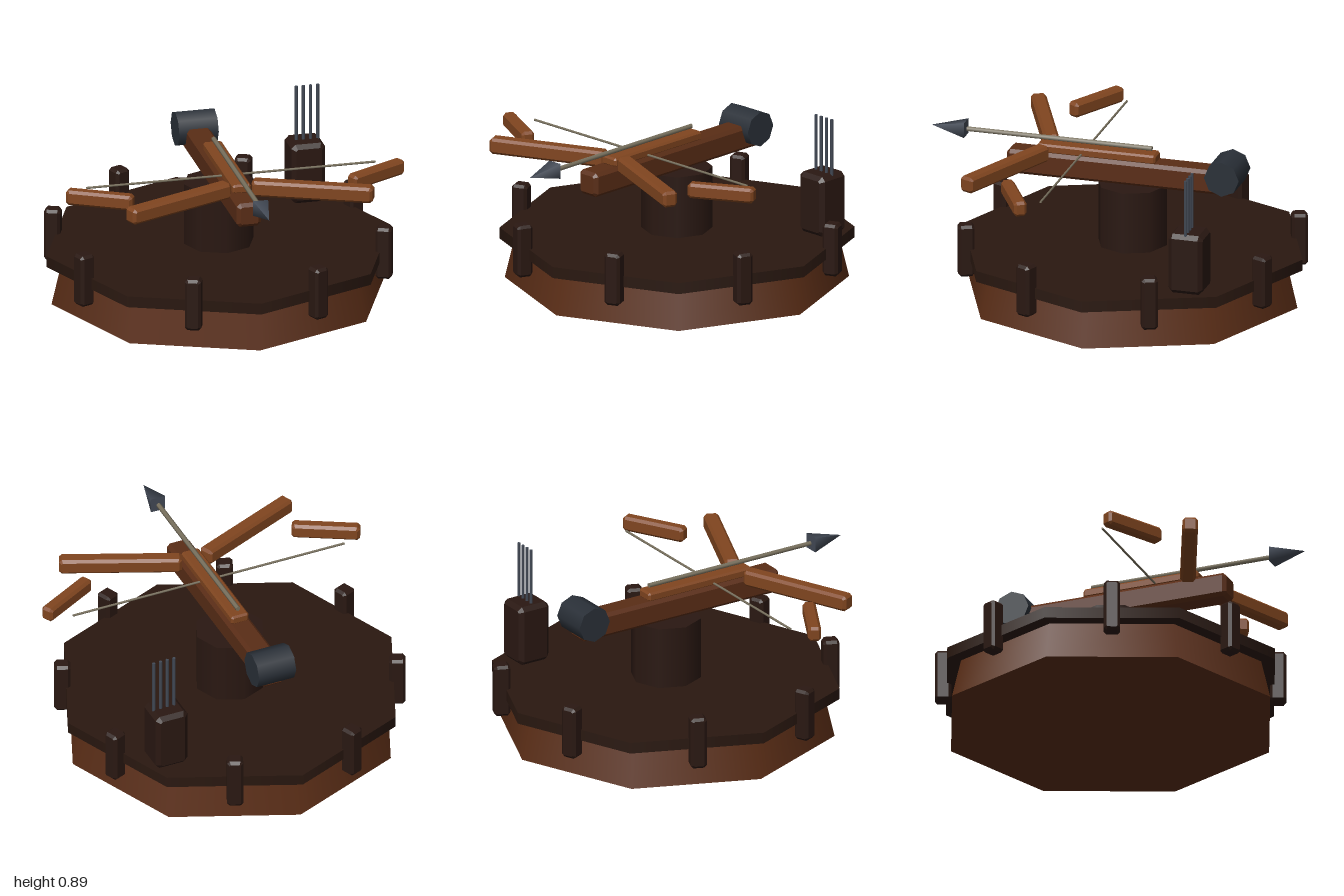
import * as THREE from 'three';

const CZ = -0.085; // centre of the turntable along z
const mat = (color) => new THREE.MeshStandardMaterial({ color });
const mats = {
  hull: mat(0x5a2d16), deck: mat(0x2a1810), post: mat(0x2a1812), arm: mat(0x80451f),
  iron: mat(0x2a3038), steel: mat(0x434a56), shaft: mat(0x7a725f),
};

// Box with flat chamfers on all edges, centred on the origin
function chamferBox(w, h, d, c) {
  const x = w / 2, y = h / 2;
  const shape = new THREE.Shape([
    [x, y - c], [x - c, y], [c - x, y], [-x, y - c],
    [-x, c - y], [c - x, -y], [x - c, -y], [x, c - y],
  ].map(([px, py]) => new THREE.Vector2(px, py)));
  return new THREE.ExtrudeGeometry(shape, {
    depth: d - 2 * c, bevelEnabled: true, bevelThickness: c, bevelSize: c, bevelOffset: -c, bevelSegments: 1,
  }).translate(0, 0, c - d / 2);
}

export function createModel() {
  const model = new THREE.Group();
  const add = (name, geometry, material, x, y, z, rotY = 0) => {
    const mesh = new THREE.Mesh(geometry, material);
    mesh.name = name;
    mesh.position.set(x, y, z);
    mesh.rotation.y = rotY;
    model.add(mesh);
    return mesh;
  };

  // Octagonal platform and pedestal
  add('base', new THREE.CylinderGeometry(0.84, 0.89, 0.21, 8), mats.hull, 0, 0.105, CZ);
  add('deck', new THREE.CylinderGeometry(0.917, 0.917, 0.06, 8), mats.deck, 0, 0.24, CZ);
  add('pedestal', new THREE.CylinderGeometry(0.185, 0.185, 0.33, 8), mats.post, 0, 0.435, CZ);

  // Posts around the rim, one at the middle of each side
  const postGeo = chamferBox(0.085, 0.28, 0.085, 0.014);
  for (let i = 0; i < 8; i++) {
    const a = (i + 0.5) * Math.PI / 4;
    add('rimPost', postGeo, mats.post, 0.866 * Math.sin(a), 0.26, CZ + 0.866 * Math.cos(a), a);
  }

  // Stock, bolt rail and winch drum
  add('stock', chamferBox(0.13, 0.13, 1.22, 0.018), mats.hull, 0, 0.663, -0.03);
  add('boltRail', chamferBox(0.1, 0.05, 0.64, 0.01), mats.arm, 0, 0.747, 0.1);
  const drumGeo = new THREE.CylinderGeometry(0.094, 0.094, 0.21, 8).rotateZ(Math.PI / 2);
  add('winchDrum', drumGeo, mats.iron, 0, 0.705, -0.595);

  // Bow arms, mirrored
  const innerGeo = chamferBox(0.636, 0.085, 0.08, 0.014);
  const outerGeo = chamferBox(0.355, 0.08, 0.068, 0.014);
  for (const s of [1, -1]) {
    add('innerBowArm', innerGeo, mats.arm, s * 0.357, 0.738, 0.497, -s * 0.404);
    add('outerBowArm', outerGeo, mats.arm, s * 0.735, 0.731, 0.334, s * 0.497);
  }

  // Bowstring
  const stringGeo = new THREE.CylinderGeometry(0.006, 0.006, 1.54, 6).rotateZ(Math.PI / 2);
  add('bowstring', stringGeo, mats.shaft, 0, 0.737, 0.18);

  // Loaded bolt with a square pyramid head
  const boltGeo = new THREE.CylinderGeometry(0.013, 0.013, 1.0, 6).rotateX(Math.PI / 2);
  add('boltShaft', boltGeo, mats.shaft, 0, 0.795, 0.31);
  const headGeo = new THREE.ConeGeometry(0.057, 0.185, 4).rotateY(Math.PI / 4).rotateX(Math.PI / 2);
  add('boltHead', headGeo, mats.steel, 0, 0.797, 0.9075);

  // Quiver box with spare bolts
  add('quiver', chamferBox(0.18, 0.325, 0.185, 0.022), mats.post, 0.58, 0.432, -0.567);
  const spareGeo = new THREE.CylinderGeometry(0.009, 0.009, 0.6, 6);
  for (let i = 0; i < 4; i++) {
    add('spareBolt', spareGeo, mats.steel, 0.534 + i * 0.038, 0.592, -0.567);
  }
  return model;
}
